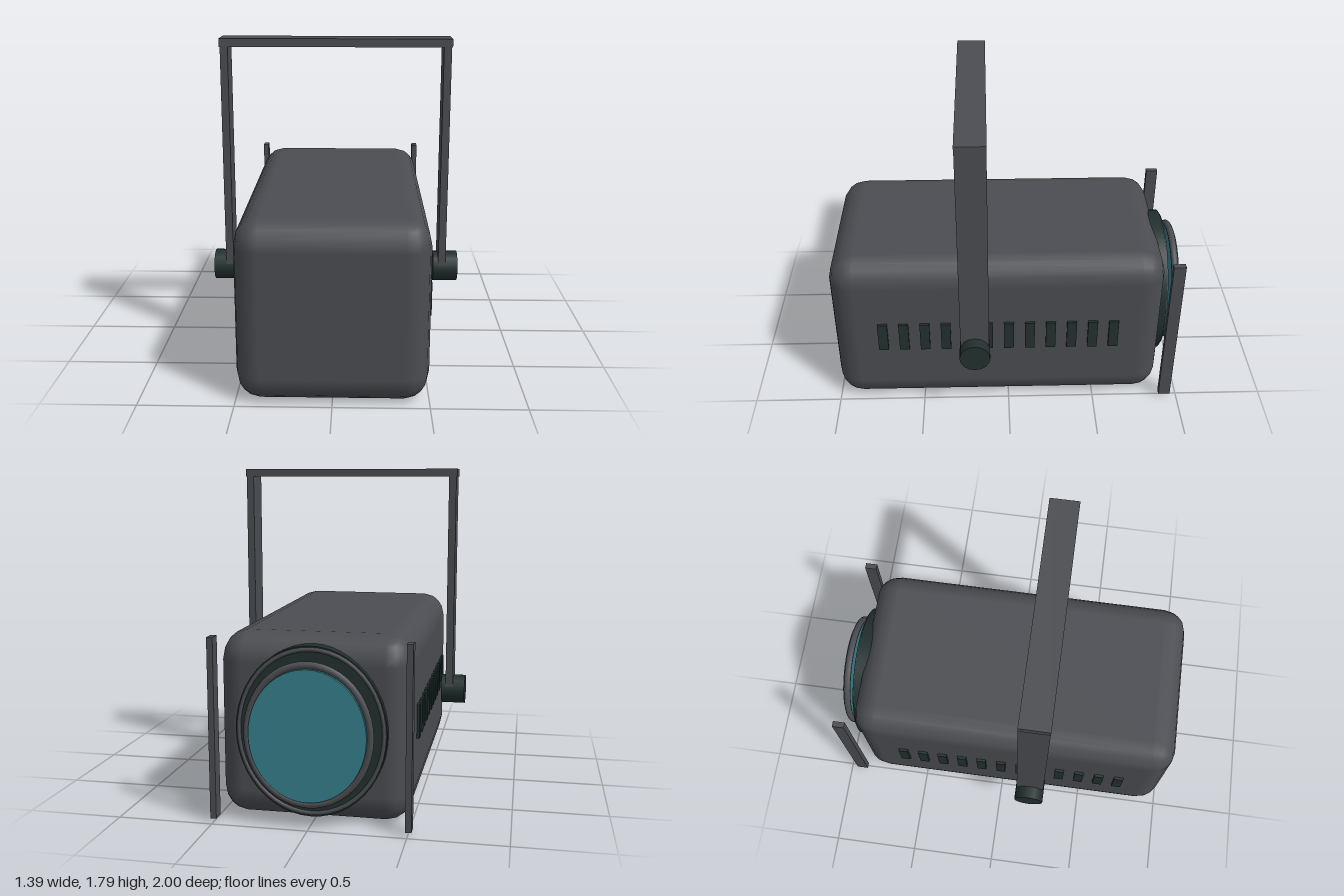
import * as THREE from 'three';
import { RoundedBoxGeometry } from 'three/addons/geometries/RoundedBoxGeometry.js';

export function createModel() {
  const model = new THREE.Group();
  model.name = 'stageLight';

  const mat = (name, color) => {
    const m = new THREE.MeshStandardMaterial({ color });
    m.name = name;
    return m;
  };
  const grey = mat('greyMetal', 0x4b4d52);
  const dark = mat('darkMetal', 0x22302f);
  const glass = mat('tealGlass', 0x37808c);

  const midY = 0.485; // height of the optical axis
  const oval = 0.885; // the round parts are narrower than tall

  const add = (name, geometry, material, x, y, z) => {
    const mesh = new THREE.Mesh(geometry, material);
    mesh.name = name;
    mesh.position.set(x, y, z);
    model.add(mesh);
    return mesh;
  };
  const box = (name, material, w, h, d, x, y, z) =>
    add(name, new THREE.BoxGeometry(w, h, d), material, x, y, z);
  // Oval disc with its axis along z
  const disc = (name, material, radius, depth, z) =>
    add(name, new THREE.CylinderGeometry(radius, radius, depth, 48)
      .rotateX(Math.PI / 2).scale(oval, 1, 1), material, 0, midY, z);
  const ring = (name, material, radius, tube, z) =>
    add(name, new THREE.TorusGeometry(radius, tube, 10, 48)
      .scale(oval, 1, 1), material, 0, midY, z);

  // Housing, with corners slightly taller than wide
  const sx = 0.93, sy = 1.07;
  const housing = new RoundedBoxGeometry(1 / sx, 0.97 / sy, 1.88, 2, 0.14);
  housing.scale(sx, sy, 1);
  add('housing', housing, grey, 0, midY, 0.06);

  // Lens barrel, floating bezel and lens at the back end
  disc('lensBarrel', dark, 0.44, 0.075, -0.875);
  ring('barrelRim', grey, 0.422, 0.012, -0.91);
  ring('lensBezel', grey, 0.355, 0.02, -0.972);
  disc('lens', glass, 0.338, 0.034, -0.983);

  for (const s of [-1, 1]) {
    // Cooling vents
    for (let i = 0; i < 12; i++) {
      box('vent', dark, 0.04, 0.18, 0.055, s * 0.495, 0.49, 0.713 - i * 0.119);
    }
    // Filter holder rail
    box('filterRail', grey, 0.032, 0.945, 0.068, s * 0.503, 0.4875, -0.929);
    // Yoke arm and its clamp knob
    box('yokeArm', grey, 0.042, 1.25, 0.16, s * 0.604, 1.125, 0.192);
    add('clampKnob', new THREE.CylinderGeometry(0.085, 0.085, 0.138, 16)
      .rotateZ(Math.PI / 2), dark, s * 0.625, midY, 0.192);
  }
  // Yoke top bar
  box('yokeBar', grey, 1.26, 0.045, 0.162, 0, 1.768, 0.192);

  return model;
}
